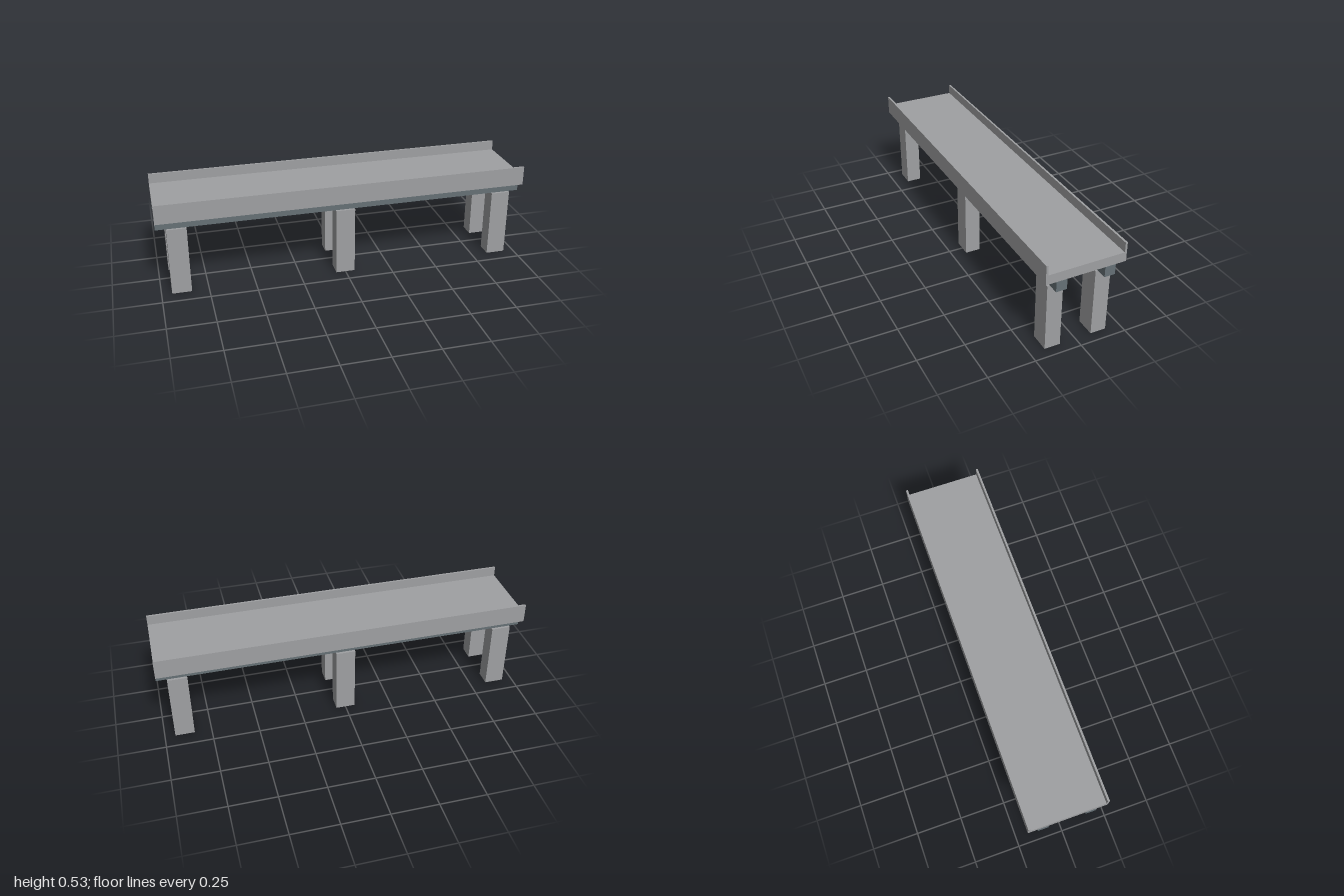
import * as THREE from 'three';

export function createModel() {
  const bridge = new THREE.Group();
  bridge.name = 'bridge';
  const concrete = new THREE.MeshStandardMaterial({ color: 0x9fa0a2 });
  concrete.name = 'concrete';
  const steel = new THREE.MeshStandardMaterial({ color: 0x667176 });
  steel.name = 'steel';

  // Adds a box given its size, bottom height and centre in plan
  function addBox(name, material, [w, h, d], x, bottom, z) {
    const mesh = new THREE.Mesh(new THREE.BoxGeometry(w, h, d), material);
    mesh.name = name;
    mesh.position.set(x, bottom + h / 2, z);
    bridge.add(mesh);
  }

  // Road slab and its two side walls in one U-shaped section, run along x
  const hw = 0.213, inner = 0.202, base = 0.43, road = 0.481, top = 0.534;
  const section = new THREE.Shape([
    [-hw, base], [hw, base], [hw, top], [inner, top],
    [inner, road], [-inner, road], [-inner, top], [-hw, top],
  ].map(([z, y]) => new THREE.Vector2(z, y)));
  const deckGeometry = new THREE.ExtrudeGeometry(section, { depth: 2, bevelEnabled: false });
  deckGeometry.translate(0, 0, -1).rotateY(Math.PI / 2);
  const deck = new THREE.Mesh(deckGeometry, concrete);
  deck.name = 'deckWithParapets';
  bridge.add(deck);

  // Girders under the deck, each on three square piers
  for (const side of [-1, 1]) {
    const z = side * 0.129;
    addBox('girder', steel, [2, 0.057, 0.057], 0, 0.373, z);
    for (const x of [-0.893, 0, 0.893]) {
      addBox('pier', concrete, [0.104, 0.373, 0.084], x, 0, z);
    }
  }
  return bridge;
}
